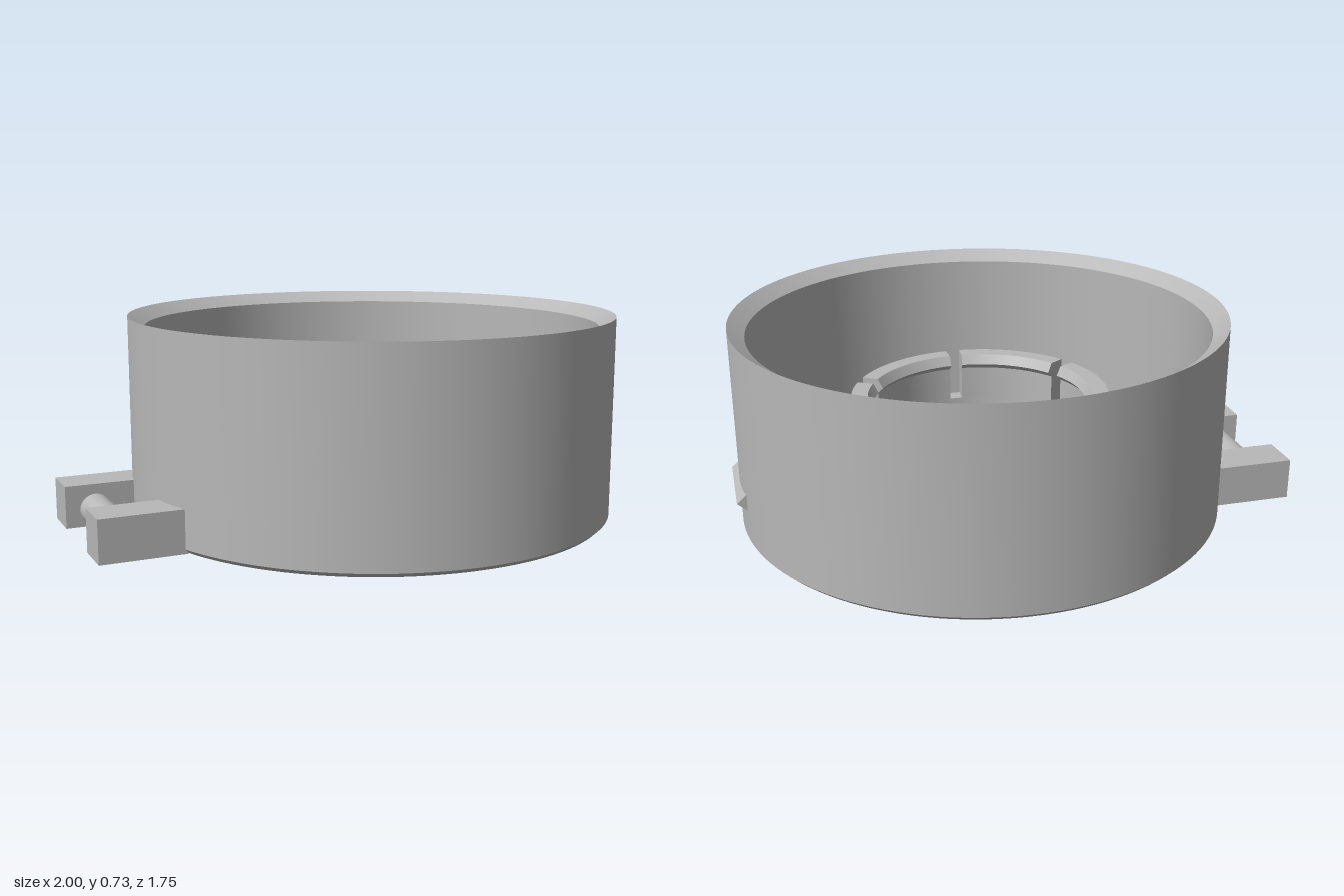
import * as THREE from 'three';
import { toCreasedNormals } from 'three/addons/utils/BufferGeometryUtils.js';

const CX = 0.105; // axis of the round body

export function createModel() {
  const model = new THREE.Group();
  const grey = new THREE.MeshStandardMaterial({ color: 0xb8b8b8, side: THREE.DoubleSide });
  grey.name = 'grey plastic';

  const add = (name, geometry, x = 0, y = 0, z = 0, parent = model) => {
    const mesh = new THREE.Mesh(geometry, grey);
    mesh.name = name;
    mesh.position.set(x, y, z);
    parent.add(mesh);
    return mesh;
  };
  const points = (list) => list.map(([r, y]) => new THREE.Vector2(r, y));
  const lathe = (list, segments = 96, start = 0, length = Math.PI * 2) =>
    toCreasedNormals(new THREE.LatheGeometry(points(list), segments, start, length), 0.35);

  // Cup: stepped bore, floor, chamfered foot, wall with inward sloping rim, central boss
  add('cup', lathe([
    [0.095, 0.1], [0.12, 0.1], [0.12, 0.07], [0.145, 0.07], [0.145, 0.03], [0.2, 0.03], [0.2, 0],
    [0.86, 0], [0.875, 0.015], [0.875, 0.725], [0.817, 0.685], [0.817, 0.08],
    [0.165, 0.08], [0.165, 0.185], [0.15, 0.2], [0.095, 0.2], [0.095, 0.1],
  ], 128), CX);

  // Inner collar below the slots
  const collar = new THREE.Group();
  collar.name = 'snapCollar';
  collar.position.x = CX;
  model.add(collar);
  add('collarBase', lathe([
    [0.405, 0.08], [0.465, 0.08], [0.465, 0.24], [0.405, 0.24], [0.405, 0.08],
  ]), 0, 0, 0, collar);

  // Six snap fingers with a sloped inner lip and closed ends
  const finger = [
    [0.405, 0.24], [0.465, 0.24], [0.465, 0.42], [0.405, 0.42],
    [0.385, 0.385], [0.405, 0.365], [0.405, 0.24],
  ];
  const cap = new THREE.ShapeGeometry(new THREE.Shape(points(finger.slice(0, -1))));
  const gap = 0.116;
  const length = Math.PI / 3 - gap;
  for (let i = 0; i < 6; i++) {
    const start = (i * Math.PI) / 3 + gap / 2;
    add('snapFinger', lathe(finger, 16, start, length), 0, 0, 0, collar);
    for (const phi of [start, start + length]) {
      add('fingerEnd', cap, 0, 0, 0, collar).rotation.y = phi - Math.PI / 2;
    }
  }

  // Hinge lugs and pin
  for (const side of [-1, 1]) {
    add('hingeLug', new THREE.BoxGeometry(0.295, 0.15, 0.153), -0.8525, 0.075, side * 0.2285);
  }
  const pin = new THREE.CylinderGeometry(0.055, 0.055, 0.32, 32);
  add('hingePin', pin.rotateX(Math.PI / 2), -0.895, 0.06, 0);

  // Triangular catch ridge on the opposite side
  const ridge = new THREE.Shape(points([[0.95, 0.113], [1, 0.157], [0.95, 0.201]]));
  add('catchRidge', new THREE.ExtrudeGeometry(ridge, { depth: 0.31, bevelEnabled: false }), 0, 0, -0.155);

  return model;
}
